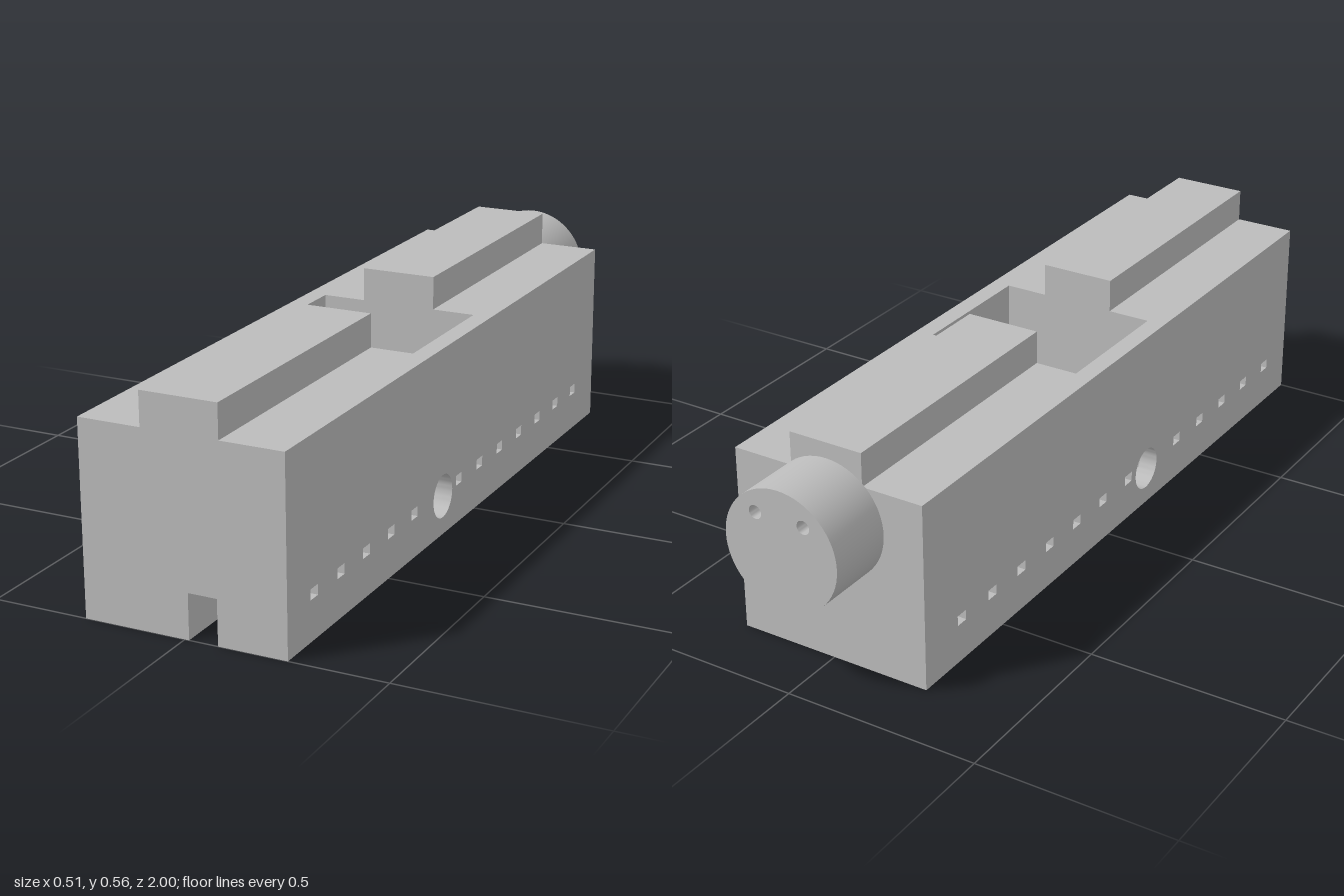
import * as THREE from 'three';
import { toCreasedNormals } from 'three/addons/utils/BufferGeometryUtils.js';

// Block, rail, pocket, slot and cross-hole dimensions
const W = 0.257, H = 0.48, Z0 = -0.825, Z1 = 1;
const R = 0.0975, T = 0.565;
const P = 0.209, P0 = -0.09, P1 = 0.268, F = 0.049;
const S0 = 0.011, S1 = 0.084, SH = 0.113, SZ = 0.083;
const HZ = 0.194, HY = 0.1, HR = 0.0555;

// How flat (u, v) coordinates at distance d along an axis become x, y, z
const PLACE = {
  x: (u, v, d) => [d, v, u],
  y: (u, v, d) => [u, d, v],
  z: (u, v, d) => [u, v, d],
};

const rect = (u0, u1, v0, v1) => [[u0, v0], [u1, v0], [u1, v1], [u0, v1]];

function arc(cu, cv, r, a0, a1, n) {
  const pts = [];
  for (let i = 0; i <= n; i++) {
    const a = a0 + (a1 - a0) * i / n;
    pts.push([cu + r * Math.cos(a), cv + r * Math.sin(a)]);
  }
  return pts;
}
const circle = (cu, cv, r, n = 48) => arc(cu, cv, r, 0, Math.PI * 2, n).slice(0, -1);

export function createModel() {
  const model = new THREE.Group();
  const steel = new THREE.MeshStandardMaterial({ color: 0xbcbcbc, side: THREE.DoubleSide });
  steel.name = 'plain grey';

  const add = (name, geometry) => {
    const mesh = new THREE.Mesh(geometry, steel);
    mesh.name = name;
    model.add(mesh);
  };

  // Flat face with optional openings, perpendicular to an axis
  function sheet(name, axis, d, outline, holes = []) {
    const vec = (pts) => pts.map((p) => new THREE.Vector2(...p));
    const shape = new THREE.Shape(vec(outline));
    shape.holes = holes.map((h) => new THREE.Path(vec(h)));
    const g = new THREE.ShapeGeometry(shape);
    const pos = g.attributes.position;
    for (let i = 0; i < pos.count; i++) pos.setXYZ(i, ...PLACE[axis](pos.getX(i), pos.getY(i), d));
    g.computeVertexNormals();
    add(name, g);
  }

  // Wall swept along an axis from a profile
  function wall(name, axis, d0, d1, profile, closed = true) {
    const pts = closed ? [...profile, profile[0]] : profile;
    const verts = [], index = [];
    pts.forEach(([u, v], i) => {
      verts.push(...PLACE[axis](u, v, d0), ...PLACE[axis](u, v, d1));
      if (i) index.push(2 * i - 2, 2 * i, 2 * i - 1, 2 * i - 1, 2 * i, 2 * i + 1);
    });
    const g = new THREE.BufferGeometry();
    g.setAttribute('position', new THREE.Float32BufferAttribute(verts, 3));
    g.setIndex(index);
    add(name, toCreasedNormals(g, 0.6));
  }

  // Blind hole: wall plus its floor
  function blindHole(name, axis, d0, d1, profile) {
    wall(name + 'Wall', axis, d0, d1, profile);
    sheet(name + 'Floor', axis, d1, profile);
  }

  // Block ends, the front one notched by the slot
  const crown = [[W, 0], [W, H], [R, H], [R, T], [-R, T], [-R, H], [-W, H], [-W, 0]];
  sheet('frontFace', 'z', Z1, [...crown, [S0, 0], [S0, SH], [S1, SH], [S1, 0]]);
  sheet('backFace', 'z', Z0, crown);

  // Underside with slot and round blind hole
  const mount = circle(0, -0.25, 0.067);
  sheet('underside', 'y', 0,
    [[-W, Z0], [W, Z0], [W, Z1], [S1, Z1], [S1, SZ], [S0, SZ], [S0, Z1], [-W, Z1]], [mount]);
  blindHole('mountingHole', 'y', 0, 0.2, mount);

  // Top rails, either side of the pocket
  for (const [a, b, end] of [[Z0, P0, P0], [P1, Z1, P1]]) {
    wall('rail', 'z', a, b, [[R, H], [R, T], [-R, T], [-R, H]], false);
    sheet('railEnd', 'z', end, rect(-R, R, H, T));
  }

  // Cross hole meets the pocket floor in a shallow groove
  const half = Math.acos((HY - F) / HR), down = -Math.PI / 2;
  const groove = arc(HZ, HY, HR, down - half, down + half, 10);
  const overFloor = arc(HZ, HY, HR, down + Math.PI * 2 - half, down + half, 48);
  const bore = circle(HZ, HY, HR);

  // Row of small square holes, skipping the one at the cross hole
  const squares = [];
  for (let i = 0; i < 13; i++) {
    const z = 0.875 - 0.1292 * i;
    if (i !== 5) squares.push(rect(z - 0.0175, z + 0.0175, 0.1, 0.126));
  }

  for (const s of [-1, 1]) {
    // Ledges and sides
    sheet('topLedge', 'y', H, [[R, Z0], [W, Z0], [W, Z1], [R, Z1], [R, P1], [P, P1], [P, P0], [R, P0]]
      .map(([x, z]) => [s * x, z]));
    sheet('sideFace', 'x', s * W, rect(Z0, Z1, 0, H), [bore, ...squares]);
    wall('crossHole', 'x', s * W, s * P, bore);
    squares.forEach((q) => blindHole('squareHole', 'x', s * W, s * (W - 0.03), q));
    // Pocket side wall
    sheet('pocketSide', 'x', s * P, [[P0, F], ...overFloor, [P1, F], [P1, H], [P0, H]]);
  }

  // Pocket ends and floor
  sheet('pocketBack', 'z', P0, rect(-P, P, F, H));
  sheet('pocketFront', 'z', P1,
    [[-P, F], [S0, F], [S0, SH], [S1, SH], [S1, F], [P, F], [P, H], [-P, H]]);
  const floor = [[P0, F], ...groove, [P1, F]];
  wall('pocketFloor', 'x', -P, S0, floor, false);
  wall('pocketFloor', 'x', S1, P, floor, false);
  sheet('pocketFloor', 'y', F, rect(S0, S1, P0, SZ));

  // Slot running from the front into the pocket
  for (const x of [S0, S1]) {
    sheet('slotSide', 'x', x,
      [[SZ, 0], [Z1, 0], [Z1, SH], [P1, SH], [P1, F], ...groove.slice().reverse(), [SZ, F]]);
  }
  sheet('slotRoof', 'y', SH, rect(S0, S1, P1, Z1));
  sheet('slotEnd', 'z', SZ, rect(S0, S1, 0, F));

  // Round knob at the back with two pin holes
  const KY = 0.373, rim = circle(0, KY, 0.152, 64);
  const pins = [-1, 1].map((s) => circle(s * 0.065, KY + 0.08, 0.017, 24));
  wall('knobRim', 'z', -1, Z0, rim);
  sheet('knobFront', 'z', Z0, rim);
  sheet('knobBack', 'z', -1, rim, pins);
  pins.forEach((p) => blindHole('pinHole', 'z', -1, -0.94, p));

  return model;
}
